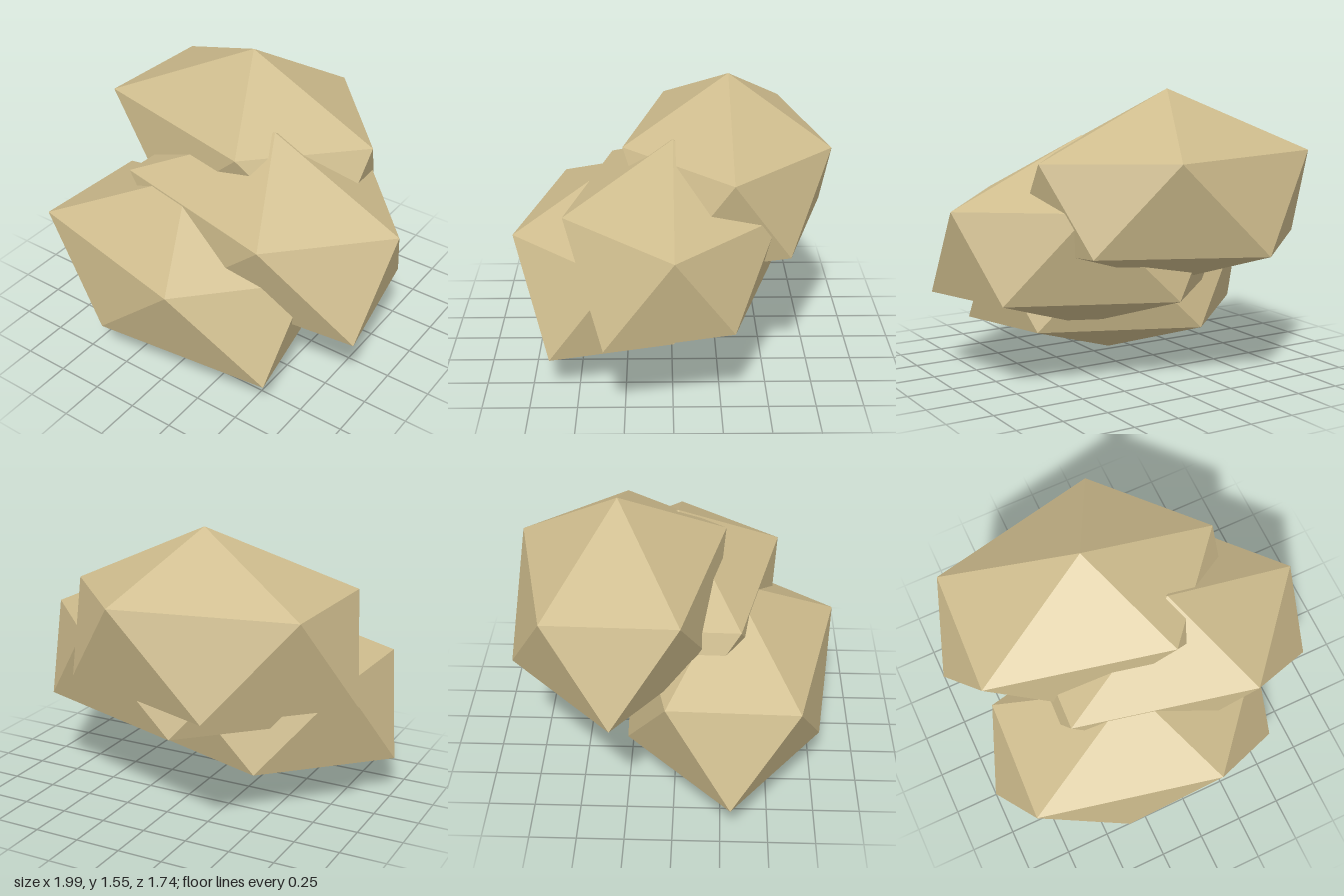
import * as THREE from 'three';
import { ConvexGeometry } from 'three/addons/geometries/ConvexGeometry.js';

// Faceted rock: a bottom point, two staggered five-sided rings and a top point
function rockGeometry() {
  const points = [
    [0, 0.5225, 0],
    // upper ring
    [0.77, 0.165, 0], [0.28, 0.2, 0.57], [-0.72, 0.2, 0.347],
    [-0.69, 0.19, -0.34], [0.263, 0.187, -0.542],
    // lower ring
    [0.74, -0.323, 0.353], [-0.242, -0.29, 0.495], [-0.87, -0.313, 0],
    [-0.272, -0.32, -0.563], [0.63, -0.289, -0.308],
    [0, -0.5225, 0],
  ].map((p) => new THREE.Vector3(...p));
  return new ConvexGeometry(points);
}

export function createModel() {
  const group = new THREE.Group();
  group.name = 'rockPile';
  const stone = new THREE.MeshStandardMaterial({ color: 0xcdbb8c });
  stone.name = 'sandstone';
  stone.flatShading = true;

  // Three equal rocks sunk into each other, stepping up towards the back
  const geometry = rockGeometry();
  const places = {
    frontRock: [-0.13, 0.5225, 0.3],
    middleRock: [0.22, 0.7725, -0.004],
    backRock: [-0.13, 1.0275, -0.308],
  };
  for (const [name, position] of Object.entries(places)) {
    const rock = new THREE.Mesh(geometry, stone);
    rock.name = name;
    rock.position.set(...position);
    group.add(rock);
  }
  return group;
}
